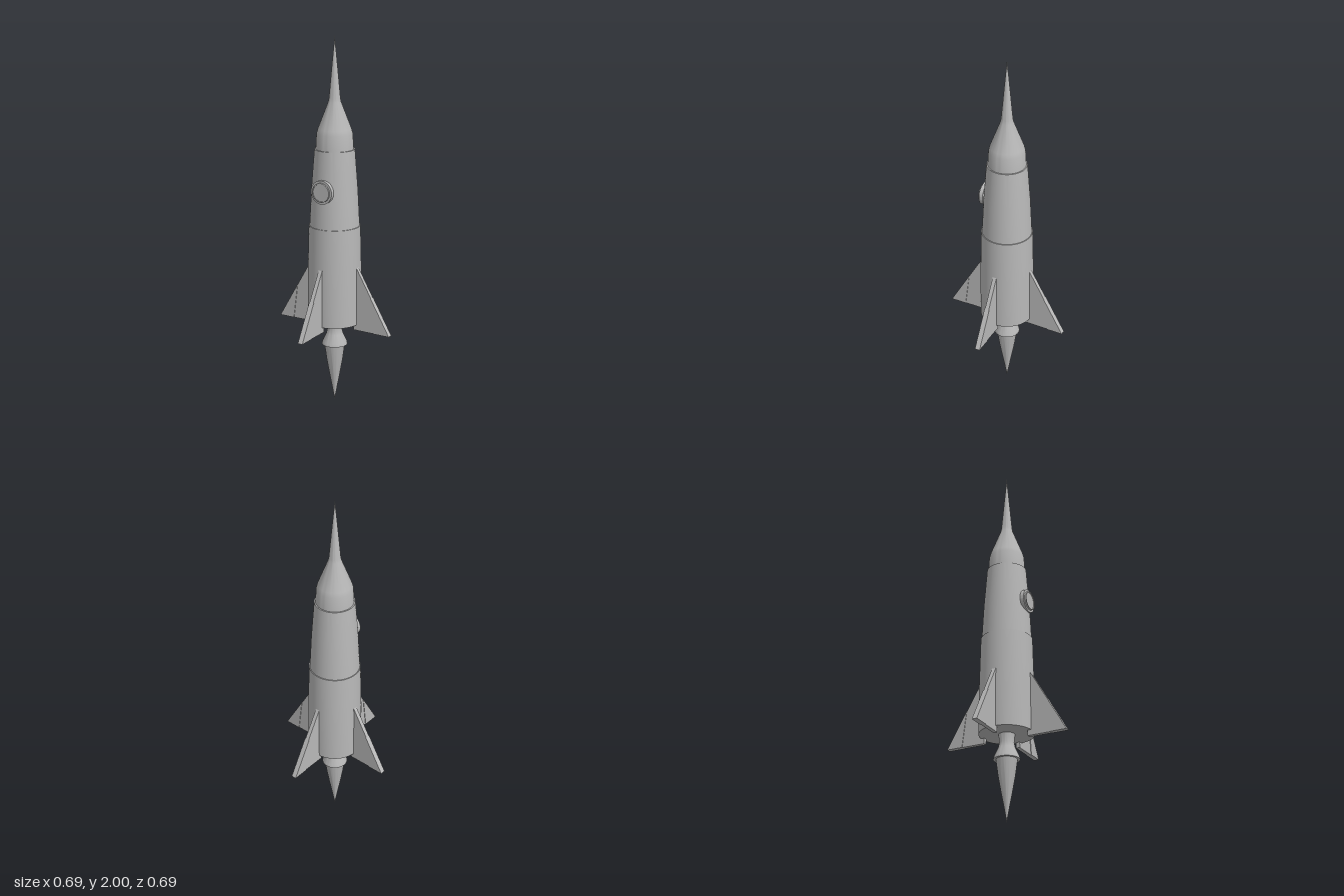
import * as THREE from 'three';
import { toCreasedNormals } from 'three/addons/utils/BufferGeometryUtils.js';

export function createModel() {
  const rocket = new THREE.Group();
  rocket.name = 'rocket';
  const grey = new THREE.MeshStandardMaterial({ color: 0xb8b8b8 });
  grey.name = 'hull grey';

  // Turned part from [radius, height] points, listed bottom to top
  function turned(name, profile, parent = rocket) {
    const points = profile.map(([r, y]) => new THREE.Vector2(r, y));
    const geometry = toCreasedNormals(new THREE.LatheGeometry(points, 64), 0.45);
    const mesh = new THREE.Mesh(geometry, grey);
    mesh.name = name;
    parent.add(mesh);
    return mesh;
  }

  // Flat plate in the xy plane, centred on z = 0
  function plate(name, corners, thickness, parent) {
    const shape = new THREE.Shape(corners.map(([x, y]) => new THREE.Vector2(x, y)));
    const geometry = new THREE.ExtrudeGeometry(shape, { depth: thickness, bevelEnabled: false });
    geometry.translate(0, 0, -thickness / 2);
    const mesh = new THREE.Mesh(geometry, grey);
    mesh.name = name;
    parent.add(mesh);
  }

  // Hull sections, each stepping in slightly above the one below
  turned('lowerHull', [[0, 0.465], [0.145, 0.465], [0.144, 0.72], [0.137, 1.0], [0, 1.0]]);
  turned('upperHull', [[0, 0.99], [0.133, 0.99], [0.122, 1.2], [0.106, 1.41], [0, 1.41]]);
  turned('noseCone', [[0, 1.4], [0.1, 1.4], [0.095, 1.49], [0.088, 1.515], [0.034, 1.655], [0.03, 1.675], [0, 2]]);

  // Engine bell and exhaust flame
  turned('engineBell', [[0, 0.33], [0.069, 0.33], [0.066, 0.345], [0.045, 0.39], [0.038, 0.42], [0.043, 0.475]]);
  turned('flame', [[0, 0], [0.014, 0.08], [0.03, 0.165], [0.044, 0.245], [0.056, 0.335]]);

  // Round porthole on the front
  const porthole = new THREE.Group();
  porthole.name = 'porthole';
  porthole.position.set(0, 1.2, 0);
  porthole.rotation.x = Math.PI / 2;
  rocket.add(porthole);
  turned('portholeRim', [[0, 0.112], [0.063, 0.112], [0.063, 0.133], [0.051, 0.133], [0.051, 0.142], [0.046, 0.142], [0.046, 0.138], [0, 0.138]], porthole);

  // Four fins with thicker tips
  for (let i = 0; i < 4; i++) {
    const fin = new THREE.Group();
    fin.name = 'fin' + (i + 1);
    fin.rotation.y = i * Math.PI / 2;
    plate('finBlade', [[0.125, 0.435], [0.343, 0.435], [0.137, 0.79], [0.125, 0.79]], 0.022, fin);
    plate('finTip', [[0.255, 0.435], [0.343, 0.435], [0.23, 0.63]], 0.028, fin);
    rocket.add(fin);
  }
  return rocket;
}
